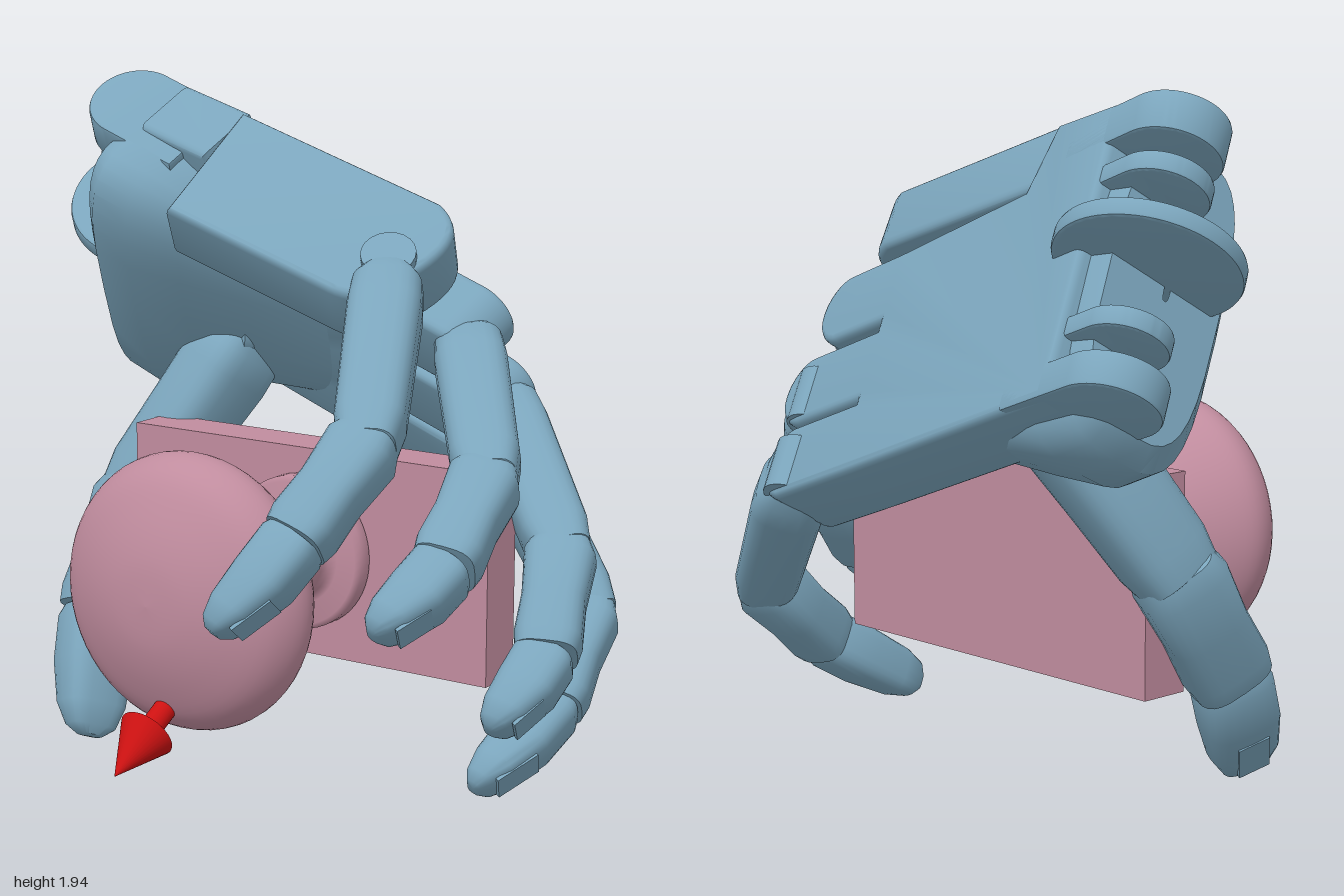
import * as THREE from 'three';
import { toCreasedNormals } from 'three/addons/utils/BufferGeometryUtils.js';

const V = (x, y, z) => new THREE.Vector3(x, y, z);
const handMat = new THREE.MeshStandardMaterial({ color: 0x7ba5bc });
const knobMat = new THREE.MeshStandardMaterial({ color: 0xc08c9e });
const arrowMat = new THREE.MeshStandardMaterial({ color: 0xcc1111 });

// Hand frame: U wrist to knuckles, S little finger to index, N out of the back of the hand
const U = V(0.94, -0.34, 0.025).normalize();
const S = V(-0.231, -0.794, -0.563).addScaledVector(U, -U.dot(V(-0.231, -0.794, -0.563))).normalize();
const N = U.clone().cross(S);

function part(parent, name, geo, mat = handMat) {
  const m = new THREE.Mesh(geo, mat);
  m.name = name;
  parent.add(m);
  return m;
}

// Skin over rings { c: centre, x, y: half-axis vectors }, rounded-square section
function loft(rings, power = 0.62, sides = 24) {
  const pos = [], idx = [];
  const soft = (v) => Math.sign(v) * Math.abs(v) ** power;
  for (const { c, x, y } of rings) {
    for (let j = 0; j < sides; j++) {
      const t = (j / sides) * Math.PI * 2;
      const p = c.clone().addScaledVector(x, soft(Math.cos(t))).addScaledVector(y, soft(Math.sin(t)));
      pos.push(p.x, p.y, p.z);
    }
  }
  for (let i = 0; i < rings.length - 1; i++) {
    for (let j = 0; j < sides; j++) {
      const k = (j + 1) % sides;
      const a = i * sides + j, b = i * sides + k, c = a + sides, d = b + sides;
      idx.push(a, b, d, a, d, c);
    }
  }
  const g = new THREE.BufferGeometry();
  g.setAttribute('position', new THREE.Float32BufferAttribute(pos, 3));
  g.setIndex(idx);
  return toCreasedNormals(g, 0.7);
}

// Profiles along a finger bone: [fraction, width, depth, shift toward the back]
const PROFILES = {
  proximal: [[0.02, 0, 0, 0], [0.02, 0.7, 0.6, 0], [0.12, 0.98, 0.95, 0], [0.25, 1, 1, 0], [0.5, 0.95, 0.97, 0], [0.9, 0.9, 0.92, 0], [1.04, 0.8, 0.75, 0], [1.08, 0, 0, 0]],
  middle: [[-0.1, 0, 0, 0], [-0.06, 0.75, 0.75, 0], [0.08, 0.92, 0.96, 0], [0.5, 0.86, 0.85, 0], [0.85, 0.9, 0.9, 0], [0.98, 0.84, 0.82, 0], [1.0, 0, 0, 0]],
  distal: [[-0.08, 0, 0, 0], [-0.06, 0.7, 0.7, 0], [0.03, 0.8, 0.82, 0], [0.4, 0.8, 0.8, 0], [0.75, 0.72, 0.62, -0.12], [0.93, 0.54, 0.4, -0.2], [1.0, 0.28, 0.2, -0.22], [1.01, 0, 0, -0.22]],
};

function bone(parent, name, from, to, radius, hinge, widen, profile) {
  const dir = to.clone().sub(from);
  const len = dir.length();
  dir.normalize();
  const side = hinge.clone().addScaledVector(dir, -hinge.dot(dir)).normalize();
  const back = dir.clone().cross(side);
  part(parent, name, loft(profile.map(([t, w, d, s]) => ({
    c: from.clone().addScaledVector(dir, t * len).addScaledVector(back, s * radius),
    x: side.clone().multiplyScalar(w * radius * widen),
    y: back.clone().multiplyScalar(d * radius),
  }))));
  return { dir, side, back, len };
}

function digit(parent, name, joints, radius, hinge, widen = 1) {
  const g = new THREE.Group();
  g.name = name;
  parent.add(g);
  const kinds = ['proximal', 'middle', 'distal'];
  kinds.forEach((kind, i) => {
    const f = bone(g, kind + 'Bone', joints[i], joints[i + 1], radius, hinge, widen, PROFILES[kind]);
    if (kind !== 'distal') return;
    // Nail lying on the sloping back of the tip
    const nail = part(g, 'nail', new THREE.BoxGeometry(radius * 0.8, radius * 0.1, f.len * 0.4));
    nail.quaternion.setFromRotationMatrix(new THREE.Matrix4().makeBasis(f.side, f.back, f.dir));
    nail.rotateX(0.3);
    nail.position.copy(joints[2]).addScaledVector(f.dir, f.len * 0.7).addScaledVector(f.back, radius * 0.5);
  });
  // Hinge barrel at the knuckle
  const k = part(g, 'knuckle', new THREE.CylinderGeometry(radius * 0.75, radius * 0.75, radius * 1.5, 20));
  k.position.copy(joints[0]);
  k.quaternion.setFromUnitVectors(V(0, 1, 0), hinge.clone().normalize());
}

// Rounded lug in the hand frame, turning about the S axis
function lug(parent, name, a, b, c, r, width, reach) {
  const s = new THREE.Shape();
  s.absarc(0, 0, r, Math.PI / 2, Math.PI * 1.5);
  if (reach) s.lineTo(reach, -r).lineTo(reach, r);
  else s.absarc(0, 0, r, -Math.PI / 2, Math.PI / 2);
  const g = new THREE.ExtrudeGeometry(s, { depth: width - 0.02, bevelSize: 0.01, bevelThickness: 0.01, bevelSegments: 2, curveSegments: 20 });
  g.translate(0, 0, -width / 2 + 0.01).rotateX(Math.PI / 2);
  part(parent, name, toCreasedNormals(g, 0.6)).position.set(a, b, c);
}

function buildPalm(root) {
  const palm = new THREE.Group();
  palm.name = 'palm';
  palm.quaternion.setFromRotationMatrix(new THREE.Matrix4().makeBasis(U, S, N));
  root.add(palm);

  // Back plate with three finger prongs
  const s = new THREE.Shape();
  s.moveTo(-1.15, -0.33).lineTo(-1.15, -1.17).lineTo(-0.93, -1.19).lineTo(-0.86, -1.0);
  for (const [a, b] of [[-0.07, -0.89], [0.0, -0.64], [-0.01, -0.41]]) {
    s.lineTo(-0.31, b - 0.09);
    s.absarc(a, b, 0.09, -Math.PI / 2, Math.PI / 2);
    s.lineTo(-0.31, b + 0.09);
  }
  const plate = new THREE.ExtrudeGeometry(s, { depth: 0.17, bevelSize: 0.02, bevelThickness: 0.025, bevelSegments: 3, curveSegments: 12 });
  part(palm, 'palmPlate', toCreasedNormals(plate, 0.6)).position.z = 0.965;

  // Heel of the hand swelling toward the thumb: [a, b0, b1, c0, c1]
  const heel = [[-1.23, -0.8, -0.7, 0.9, 0.92], [-1.23, -1.15, -0.31, 0.73, 1.1], [-1.17, -1.18, -0.26, 0.68, 1.12],
    [-1.04, -1.18, -0.25, 0.68, 1.13], [-0.9, -1.1, -0.29, 0.75, 1.13], [-0.74, -0.98, -0.34, 0.85, 1.12],
    [-0.5, -0.92, -0.38, 0.94, 1.11], [-0.3, -0.85, -0.42, 0.97, 1.1], [-0.3, -0.6, -0.6, 1.0, 1.0]];
  part(palm, 'palmHeel', loft(heel.map(([a, b0, b1, c0, c1]) => ({
    c: V(a, (b0 + b1) / 2, (c0 + c1) / 2), x: V(0, (b1 - b0) / 2, 0), y: V(0, 0, (c1 - c0) / 2),
  })), 0.6, 32));

  // Folding block carrying the little finger
  const blk = new THREE.Shape();
  blk.moveTo(-0.36, -0.18).lineTo(0.2, -0.18).quadraticCurveTo(0.33, -0.18, 0.35, -0.03);
  blk.quaternion = undefined;
  blk.quadraticCurveTo(0.42, 0.16, 0.28, 0.2).lineTo(-0.4, 0.2);
  const bg = new THREE.ExtrudeGeometry(blk, { depth: 0.15, bevelSize: 0.02, bevelThickness: 0.025, bevelSegments: 3 });
  bg.translate(0, 0, -0.075).rotateX(Math.PI / 2);
  const block = part(palm, 'littleFingerBlock', toCreasedNormals(bg, 0.6));
  block.position.set(-0.5, -1.12, 0.945);
  block.rotation.set(0.04, -0.05, 0);

  // Wrist hinge lugs and central disc
  for (const [b, w, r] of [[-0.36, 0.1, 0.13], [-0.52, 0.06, 0.11], [-0.97, 0.06, 0.12], [-1.12, 0.12, 0.13]]) lug(palm, 'wristLug', -1.26, b, 1.02, r, w, 0.25);
  lug(palm, 'wristDisc', -1.25, -0.765, 1.0, 0.24, 0.055, 0);
}

function buildKnob(root) {
  part(root, 'doorPlate', new THREE.BoxGeometry(1.22, 0.61, 0.15), knobMat).position.set(0.04, 0.635, -0.165);
  const curve = new THREE.SplineCurve([[0.125, 0.08], [0.14, 0.14], [0.24, 0.26], [0.35, 0.38], [0.388, 0.47], [0.345, 0.56], [0.24, 0.62], [0.12, 0.657], [0, 0.667]]
    .map(([r, z]) => new THREE.Vector2(r, z)));
  const base = [[0, -0.1], [0.21, -0.1], [0.225, -0.085], [0.225, -0.045], [0.21, -0.03], [0.15, -0.03], [0.13, -0.015], [0.125, 0.01]]
    .map(([r, z]) => new THREE.Vector2(r, z));
  const pts = [...base, ...curve.getPoints(36)].map((p) => (p.x < 0 ? p.setX(0) : p));
  const g = new THREE.LatheGeometry(pts, 56);
  g.rotateX(Math.PI / 2);
  part(root, 'knob', g, knobMat).position.set(0.04, 0.64, 0);
}

function buildArrow(root) {
  const arrow = new THREE.Group();
  arrow.name = 'arrow';
  arrow.position.set(0.04, 0.205, 0.81);
  arrow.quaternion.setFromUnitVectors(V(0, 1, 0), V(0, -0.5, 0.866).normalize());
  part(arrow, 'arrowHead', new THREE.ConeGeometry(0.08, 0.165, 32), arrowMat).position.y = -0.0825;
  part(arrow, 'arrowShaft', new THREE.CylinderGeometry(0.032, 0.032, 0.22, 24), arrowMat).position.y = -0.27;
  root.add(arrow);
}

export function createModel() {
  const root = new THREE.Group();
  root.name = 'handGraspingKnob';
  buildPalm(root);
  const fingers = {
    littleFinger: [V(0.31, 1.47, -0.11), V(0.55, 1.1, 0.37), V(0.48, 0.87, 0.61), V(0.37, 0.64, 0.79)],
    ringFinger: [V(0.4, 1.26, -0.38), V(0.75, 0.98, 0.09), V(0.78, 0.79, 0.36), V(0.72, 0.64, 0.57)],
    middleFinger: [V(0.41, 1.06, -0.55), V(0.82, 0.73, -0.2), V(0.9, 0.49, 0.02), V(0.87, 0.32, 0.22)],
    indexFinger: [V(0.34, 0.89, -0.69), V(0.75, 0.48, -0.49), V(0.78, 0.26, -0.24), V(0.72, 0.08, 0.05)],
  };
  for (const [name, joints] of Object.entries(fingers)) digit(root, name, joints, 0.104, S);
  digit(root, 'thumb', [V(-0.42, 1.18, -0.47), V(-0.66, 0.7, -0.22), V(-0.63, 0.36, 0.03), V(-0.55, 0.04, 0.2)], 0.12, V(-0.3, 0, 0.95), 1.15);
  buildKnob(root);
  buildArrow(root);
  return root;
}
